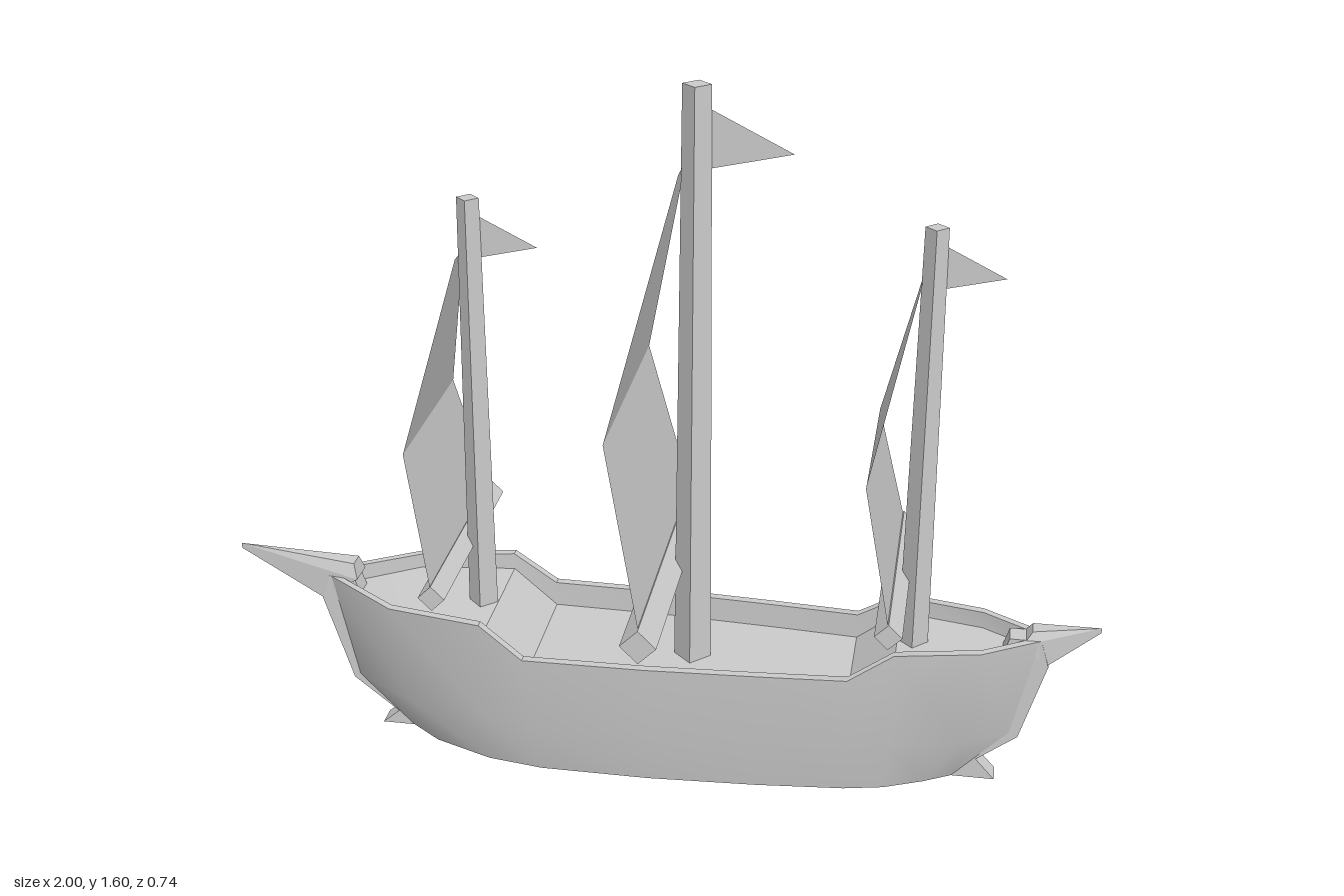
import * as THREE from 'three';
import { toCreasedNormals } from 'three/addons/utils/BufferGeometryUtils.js';
import { ConvexGeometry } from 'three/addons/geometries/ConvexGeometry.js';

const grey = new THREE.MeshStandardMaterial({ color: 0xcccccc });
const flat = new THREE.MeshStandardMaterial({ color: 0xcccccc, flatShading: true });
const sheet = new THREE.MeshStandardMaterial({ color: 0xcccccc, flatShading: true, side: THREE.DoubleSide });

function add(parent, name, geometry, material) {
  const mesh = new THREE.Mesh(geometry, material);
  mesh.name = name;
  parent.add(mesh);
  return mesh;
}

// Stations along the hull: rim x, rim half width, rim y, keel x, keel half width, deck y
const STATIONS = [
  [-0.78, 0.022, 0.39, -0.6, 0.02, 0.35],
  [-0.6, 0.145, 0.385, -0.52, 0.08, 0.35],
  [-0.38, 0.185, 0.385, -0.38, 0.135, 0.345],
  [-0.28, 0.195, 0.31, -0.25, 0.155, 0.25],
  [0, 0.19, 0.31, 0, 0.155, 0.25],
  [0.25, 0.175, 0.31, 0.25, 0.14, 0.25],
  [0.45, 0.16, 0.31, 0.45, 0.12, 0.25],
  [0.55, 0.145, 0.375, 0.54, 0.1, 0.335],
  [0.74, 0.105, 0.375, 0.63, 0.06, 0.335],
  [0.87, 0.024, 0.375, 0.7, 0.02, 0.335],
];

// Hull with bulwark and sunken deck, lofted through closed rings
function hullGeometry() {
  const positions = [], index = [];
  for (const [rx, rz, ry, kx, kz, dy] of STATIONS) {
    const inner = Math.max(rz - 0.02, 0.004);
    const half = [
      [kx, 0, kz],
      [THREE.MathUtils.lerp(kx, rx, 0.7), 0.13, THREE.MathUtils.lerp(kz, rz, 0.6)],
      [rx, ry, rz],
      [rx, ry, inner],
      [rx, dy, inner],
    ];
    const mirrored = half.map(([x, y, z]) => [x, y, -z]).reverse();
    positions.push(...[...half, ...mirrored].flat());
  }
  const n = 10;
  for (let i = 0; i < STATIONS.length - 1; i++) {
    for (let j = 0; j < n; j++) {
      const a = i * n + j, b = i * n + (j + 1) % n;
      index.push(a, a + n, b, b, a + n, b + n);
    }
  }
  const g = new THREE.BufferGeometry();
  g.setAttribute('position', new THREE.Float32BufferAttribute(positions, 3));
  g.setIndex(index);
  return toCreasedNormals(g, 0.6);
}

// Upright post closing one end of the hull, with a small foot
function stemGeometry(outline) {
  const shape = new THREE.Shape(outline.map(([x, y]) => new THREE.Vector2(x, y)));
  return new THREE.ExtrudeGeometry(shape, { depth: 0.05, bevelEnabled: false }).translate(0, 0, -0.025);
}

// Pointed spar: side outline points with a half width each
function hornGeometry(points) {
  return new ConvexGeometry(points.flatMap(([x, y, z]) =>
    z ? [new THREE.Vector3(x, y, z), new THREE.Vector3(x, y, -z)] : [new THREE.Vector3(x, y, 0)]));
}

// Sail folded along one line; rows are x, y, half width from foot to head
function sailGeometry(rows) {
  const g = new THREE.BufferGeometry();
  const positions = rows.flatMap(([x, y, w]) => [x, y, w, x, y, -w]);
  g.setAttribute('position', new THREE.Float32BufferAttribute(positions, 3));
  g.setIndex([0, 1, 2, 2, 1, 3, 2, 3, 4, 4, 3, 5]);
  g.computeVertexNormals();
  return g;
}

// Mast, yard, sail and pennant
function rig(name, o) {
  const group = new THREE.Group();
  group.name = name;
  const mast = add(group, 'mast', new THREE.CylinderGeometry(o.rTop, o.rBase, o.top - o.base, 4), flat);
  mast.position.set(o.x, (o.top + o.base) / 2, 0);

  const yard = add(group, 'yard', new THREE.CylinderGeometry(o.yardR, o.yardR, o.yardHalf * 2, 4), flat);
  yard.rotation.x = Math.PI / 2;
  yard.position.set(o.x + o.yardX, o.yardY, 0);

  add(group, 'sail', sailGeometry(o.sail.map(([x, y, w]) => [o.x + x, y, w])), sheet);

  const [length, high, tip, low] = o.flag;
  const pennant = new THREE.Shape([
    new THREE.Vector2(o.x + o.rTop * 0.8, low),
    new THREE.Vector2(o.x + length, tip),
    new THREE.Vector2(o.x + o.rTop * 0.8, high),
  ]);
  add(group, 'pennant', new THREE.ShapeGeometry(pennant), sheet);
  return group;
}

export function createModel() {
  const ship = new THREE.Group();
  ship.name = 'sailingShip';

  add(ship, 'hull', hullGeometry(), grey);

  // End posts
  add(ship, 'sternPost', stemGeometry([
    [-0.78, 0.39], [-0.8, 0.33], [-0.735, 0.12], [-0.63, 0.035], [-0.67, 0],
    [-0.52, 0], [-0.64, 0.15], [-0.72, 0.39],
  ]), flat);
  add(ship, 'bowPost', stemGeometry([
    [0.8, 0.375], [0.73, 0.15], [0.64, 0], [0.79, 0], [0.745, 0.05],
    [0.835, 0.12], [0.89, 0.31], [0.87, 0.375],
  ]), flat);

  // Pointed spars above the posts
  add(ship, 'sternSpar', hornGeometry([
    [-1, 0.445, 0], [-1, 0.432, 0], [-0.72, 0.425, 0.02], [-0.71, 0.39, 0.032], [-0.8, 0.33, 0.022],
  ]), flat);
  add(ship, 'bowSpar', hornGeometry([
    [1, 0.407, 0], [1, 0.395, 0], [0.85, 0.395, 0.02], [0.83, 0.365, 0.032], [0.885, 0.31, 0.022],
  ]), flat);

  // Rigs: one tall in the middle, a smaller one near each end
  ship.add(rig('mainRig', {
    x: 0.08, base: 0.24, top: 1.6, rBase: 0.043, rTop: 0.031,
    yardX: -0.062, yardY: 0.475, yardR: 0.04, yardHalf: 0.37,
    sail: [[-0.062, 0.5, 0.357], [-0.15, 0.9, 0.28], [-0.03, 1.42, 0.052]],
    flag: [0.205, 1.55, 1.46, 1.42],
  }));
  for (const [name, x, base, top] of [['aftRig', -0.415, 0.335, 1.33], ['foreRig', 0.585, 0.325, 1.32]]) {
    ship.add(rig(name, {
      x, base, top, rBase: 0.034, rTop: 0.025,
      yardX: -0.045, yardY: 0.495, yardR: 0.03, yardHalf: 0.273,
      sail: [[-0.045, 0.51, 0.272], [-0.11, 0.81, 0.21], [-0.024, 1.2, 0.035]],
      flag: [0.15, top - 0.04, top - 0.105, top - 0.135],
    }));
  }
  return ship;
}
